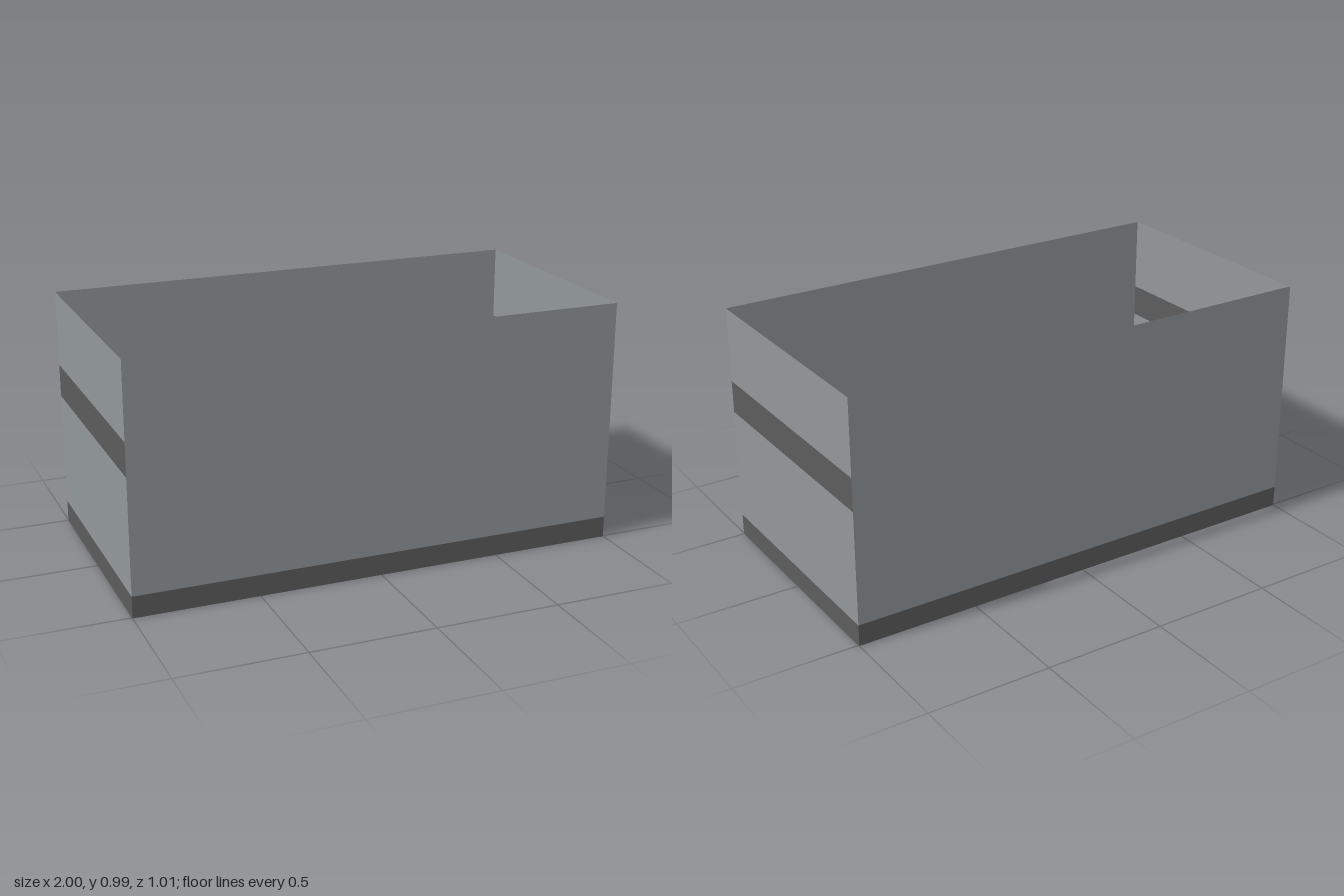
import * as THREE from 'three';

const W = 2, H = 0.993, D = 1.01;

export function createModel() {
  const group = new THREE.Group();
  const wallGrey = new THREE.MeshStandardMaterial({ color: 0x92979a, side: THREE.DoubleSide });
  wallGrey.name = 'wall grey';
  const bandGrey = new THREE.MeshStandardMaterial({ color: 0x5c5c5c, side: THREE.DoubleSide });
  bandGrey.name = 'band dark grey';

  // A thin wall stacked from horizontal strips: [bottom, top, material, name]
  function wall(name, width, strips, x, z, turn) {
    const part = new THREE.Group();
    part.name = name;
    for (const [y0, y1, material, label] of strips) {
      const strip = new THREE.Mesh(new THREE.PlaneGeometry(width, y1 - y0), material);
      strip.name = label;
      strip.position.y = (y0 + y1) / 2;
      part.add(strip);
    }
    part.position.set(x, 0, z);
    part.rotation.y = turn;
    group.add(part);
  }

  // Long walls have only a base band
  const longStrips = [
    [0, 0.087, bandGrey, 'baseBand'],
    [0.087, H, wallGrey, 'panel'],
  ];
  // End walls carry a second band above the middle
  const endStrips = [
    [0, 0.087, bandGrey, 'baseBand'],
    [0.087, 0.552, wallGrey, 'lowerPanel'],
    [0.552, 0.686, bandGrey, 'middleBand'],
    [0.686, H, wallGrey, 'upperPanel'],
  ];

  wall('frontWall', W, longStrips, 0, D / 2, 0);
  wall('backWall', W, longStrips, 0, -D / 2, Math.PI);
  wall('leftWall', D, endStrips, W / 2, 0, Math.PI / 2);
  wall('rightWall', D, endStrips, -W / 2, 0, -Math.PI / 2);

  return group;
}
